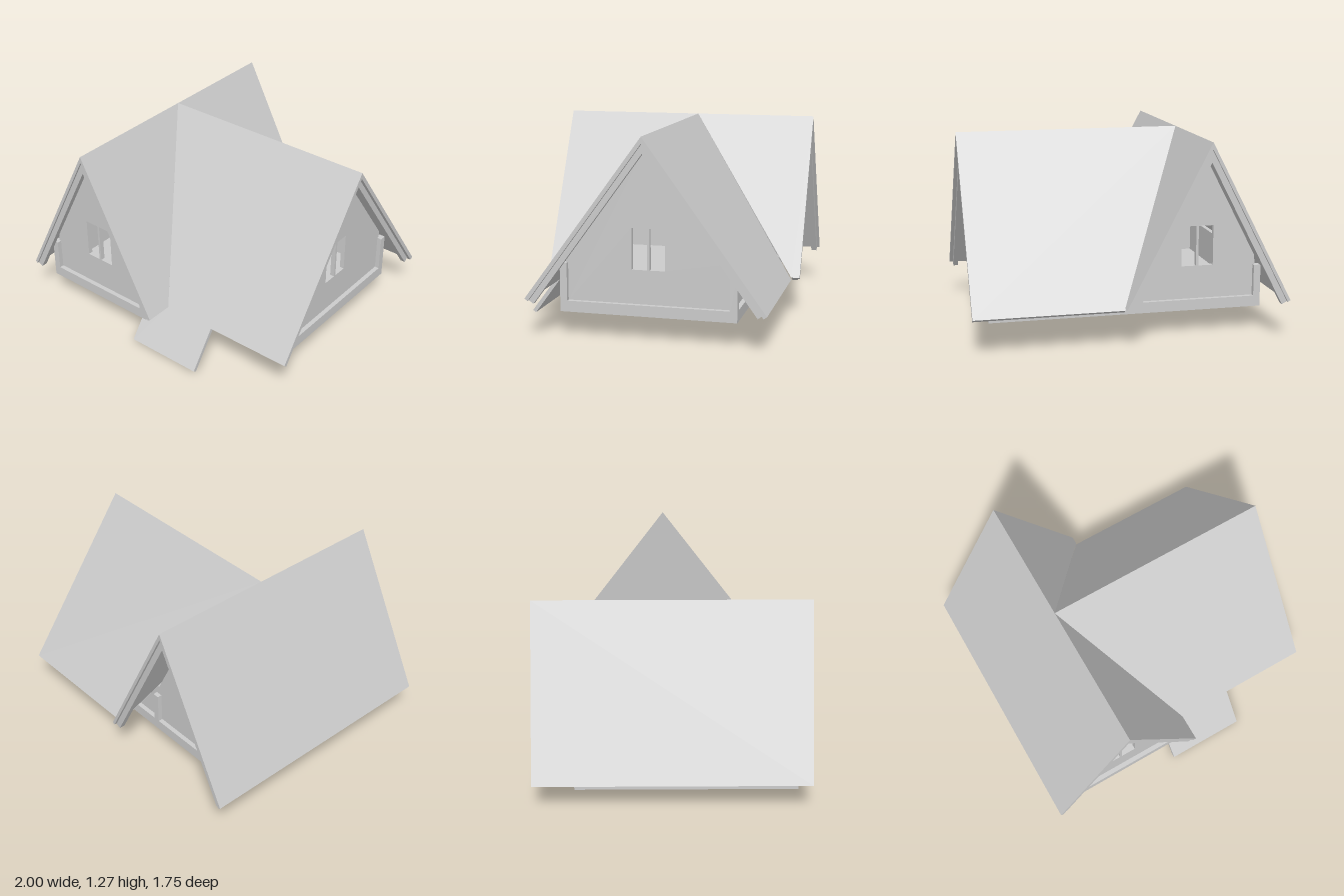
import * as THREE from 'three';

const material = new THREE.MeshStandardMaterial({ color: 0xcccccc, flatShading: true });
const RIDGE_Y = 1.275, RIDGE_X = -0.47, RIDGE_Z = -0.06;

// The main wing runs along z, the cross wing along x.
const mainWing = { alongZ: true, slope: 1.925, eave: 0.53, sheet: 0.02, rafter: 0.058 };
const crossWing = { alongZ: false, slope: 1.362, eave: 0.75, sheet: 0.025, rafter: 0.061 };

function shapeOf(points) {
  return new THREE.Shape(points.map(([a, b]) => new THREE.Vector2(a, b)));
}

export function createModel() {
  const group = new THREE.Group();

  function add(name, geometry, x = 0, y = 0, z = 0) {
    const mesh = new THREE.Mesh(geometry, material);
    mesh.name = name;
    mesh.position.set(x, y, z);
    group.add(mesh);
    return mesh;
  }

  function box(name, x0, x1, y0, y1, z0, z1) {
    add(name, new THREE.BoxGeometry(x1 - x0, y1 - y0, z1 - z0),
      (x0 + x1) / 2, (y0 + y1) / 2, (z0 + z1) / 2);
  }

  // Sloping slab. Points are [position along ridge, plan distance from ridge];
  // it is mitred vertically at ridge and valley, and cut square at the eaves.
  function roofSlab(name, wing, side, points, top, bottom) {
    const geo = new THREE.ExtrudeGeometry(shapeOf(points), { depth: bottom - top, bevelEnabled: false });
    const pos = geo.attributes.position;
    const angle = Math.atan(wing.slope), c = Math.cos(angle), s = Math.sin(angle);
    const world = [];
    for (let i = 0; i < pos.count; i++) {
      const u = pos.getX(i), p = pos.getY(i), d = pos.getZ(i) + top;
      const atEave = p >= wing.eave - 0.001;
      const out = side * (atEave ? p - d * s : p);
      const y = RIDGE_Y - p * wing.slope - (atEave ? d * c : d / c);
      world.push(wing.alongZ ? new THREE.Vector3(RIDGE_X + out, y, u)
        : new THREE.Vector3(u, y, RIDGE_Z + out));
    }
    // Restore outward winding where the mapping mirrors the slab
    if (wing.alongZ === (side > 0)) {
      for (let i = 0; i < world.length; i += 3) [world[i], world[i + 1]] = [world[i + 1], world[i]];
    }
    const slab = new THREE.BufferGeometry().setFromPoints(world);
    slab.computeVertexNormals();
    add(name, slab);
  }

  const strip = (a, b, eave) => [[a, 0], [b, 0], [b, eave], [a, eave]];

  // Main roof: whole on one side, split by the cross wing's valleys on the other
  const m = mainWing;
  roofSlab('mainRoofRight', m, -1, strip(-0.875, 0.87, m.eave), 0, m.sheet);
  roofSlab('mainRoofLeftFront', m, 1,
    [[RIDGE_Z, 0], [0.87, 0], [0.87, m.eave], [0.69, m.eave]], 0, m.sheet);
  roofSlab('mainRoofLeftBack', m, 1,
    [[-0.875, 0], [RIDGE_Z, 0], [-0.82, m.eave], [-0.875, m.eave]], 0, m.sheet);

  // Cross roof: the front slope carries on down as a porch roof
  const c = crossWing;
  roofSlab('crossRoofFront', c, 1,
    [[RIDGE_X, 0], [1, 0], [1, 0.75], [0.42, 0.75], [0.42, 0.925],
      [-0.1, 0.925], [-0.1, 0.75], [0.06, 0.75]], 0, c.sheet);
  roofSlab('crossRoofBack', c, -1, [[RIDGE_X, 0], [1, 0], [1, 0.76], [0.06, 0.76]], 0, c.sheet);

  // Rafters just inside each gable edge
  for (const side of [-1, 1]) {
    roofSlab('mainRafterFront', m, side, strip(0.82, 0.858, m.eave), m.sheet, m.rafter);
    roofSlab('mainRafterBack', m, side, strip(-0.858, -0.82, m.eave), m.sheet, m.rafter);
    roofSlab('crossRafter', c, side, strip(0.945, 0.977, 0.75), c.sheet, c.rafter);
  }

  // L-shaped base with a ledge around the walls
  const base = new THREE.ExtrudeGeometry(
    shapeOf([[-0.89, -0.79], [-0.06, -0.79], [-0.06, -0.5], [0.88, -0.5], [0.88, 0.62], [-0.89, 0.62]]),
    { depth: 0.07, bevelEnabled: false });
  base.rotateX(-Math.PI / 2);
  add('base', base, 0, 0.155, 0);

  // Gable wall with a two-light window, centred on its ridge
  function gableWall(name, wing, half) {
    const peak = RIDGE_Y - wing.sheet * Math.hypot(1, wing.slope);
    const shoulder = peak - half * wing.slope;
    const wall = shapeOf([[-half, 0.2], [half, 0.2], [half, shoulder], [0, peak], [-half, shoulder]]);
    for (const [a, b] of [[-0.105, -0.008], [0.008, 0.105]]) {
      wall.holes.push(new THREE.Path(
        [[a, 0.44], [a, 0.7], [b, 0.7], [b, 0.44]].map(([x, y]) => new THREE.Vector2(x, y))));
    }
    return add(name, new THREE.ExtrudeGeometry(wall, { depth: 0.03, bevelEnabled: false }));
  }
  gableWall('frontGableWall', m, 0.385).position.set(RIDGE_X, 0, 0.73);
  gableWall('backGableWall', m, 0.385).position.set(RIDGE_X, 0, -0.59);
  const endWall = gableWall('endGableWall', c, 0.53);
  endWall.rotation.y = Math.PI / 2;
  endWall.position.set(0.82, 0, RIDGE_Z);

  // Low side walls under the eaves
  box('rightSideWall', -0.86, -0.83, 0.2, 0.46, -0.59, 0.76);
  box('leftSideWall', -0.12, -0.09, 0.2, 0.46, 0.47, 0.76);
  box('crossFrontWall', -0.09, 0.85, 0.2, 0.49, 0.44, 0.47);
  box('crossBackWall', -0.09, 0.85, 0.2, 0.49, -0.59, -0.56);

  // Corner posts standing on the ledge
  const w = 0.045;
  for (const [x, z, sx, sz, top] of [
    [-0.89, 0.79, 1, -1, 0.43], [-0.06, 0.79, -1, -1, 0.43],
    [-0.89, -0.62, 1, 1, 0.43], [-0.06, -0.62, -1, 1, 0.43],
    [0.88, 0.5, -1, -1, 0.465], [0.88, -0.62, -1, 1, 0.465],
  ]) {
    add('cornerPost', new THREE.BoxGeometry(w, top - 0.2, w),
      x + sx * w / 2, (top + 0.2) / 2, z + sz * w / 2);
  }

  return group;
}
